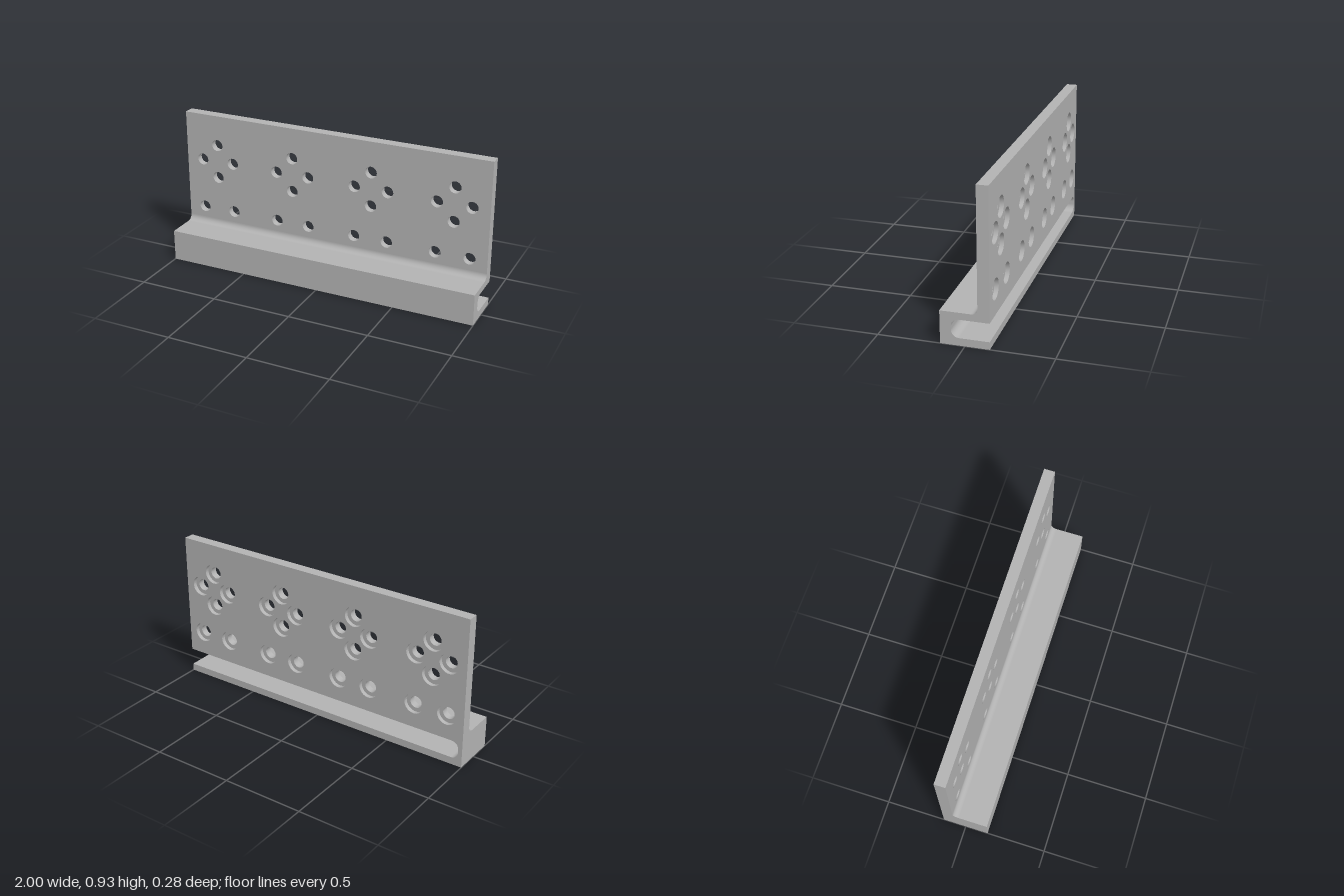
import * as THREE from 'three';

const BACK = -0.14, FRONT = 0.14, WEB = -0.073, TOP = 0.93, LEDGE = 0.196, FILLET = 0.037;
const BORE = 0.037, SINK = 0.062, SINK_Z = BACK + 0.025;
const SLOT = { x: -0.93, y: 0.1, h: 0.01, r: 0.045, z: 0.032 }; // core of the rounded pocket

const steel = new THREE.MeshStandardMaterial({ color: 0xb3b3b3, side: THREE.DoubleSide });
steel.name = 'grey metal';

// Surface between rows of points, smooth inside one call and sharp between calls
function loft(rows) {
  const n = rows[0].length, index = [];
  for (let i = 0; i < rows.length - 1; i++) {
    for (let j = 0; j < n - 1; j++) {
      const a = i * n + j, b = a + n;
      index.push(a, b, b + 1, a, b + 1, a + 1);
    }
  }
  const g = new THREE.BufferGeometry().setFromPoints(rows.flat());
  g.setIndex(index);
  g.computeVertexNormals();
  return g;
}

function arc(cx, cy, r, from, to, steps = 12) {
  return Array.from({ length: steps + 1 }, (_, i) => {
    const a = (from + (to - from) * i / steps) * Math.PI / 180;
    return [cx + r * Math.cos(a), cy + r * Math.sin(a)];
  });
}

const toShape = (pts, sign = 1) => new THREE.Shape(pts.map(([u, v]) => new THREE.Vector2(sign * u, v)));
const circle = (x, y, r, z) => arc(x, y, r, 0, 360, 32).map(([u, v]) => new THREE.Vector3(u, v, z));

// Pocket outline in x and y, open at the +x end
function slotOutline(o) {
  const { x, y, h } = SLOT;
  return [[1, y + h + o], ...arc(x, y + h, o, 90, 180), ...arc(x, y - h, o, 180, 270), [1, y - h - o]];
}

// Four groups of holes: a diamond of four above a pair
function holeCentres() {
  const list = [];
  for (const cx of [-0.783, -0.261, 0.261, 0.783]) {
    for (const [dx, y] of [[0, 0.737], [-0.107, 0.63], [0.107, 0.63], [0, 0.522], [-0.107, 0.307], [0.107, 0.307]]) {
      list.push([cx + dx, y]);
    }
  }
  return list;
}

export function createModel() {
  const model = new THREE.Group();
  model.name = 'mountingRail';
  const add = (name, geometry, parent = model) => {
    const mesh = new THREE.Mesh(geometry, steel);
    mesh.name = name;
    parent.add(mesh);
    return mesh;
  };
  const holes = holeCentres();
  const punch = (shape, r, sign) => {
    for (const [x, y] of holes) shape.holes.push(new THREE.Path(arc(sign * x, y, r, 0, 360, 32).slice(0, -1).map(p => new THREE.Vector2(...p))));
    return shape;
  };

  // Long outer faces, swept from end to end
  const fillet = arc(WEB + FILLET, LEDGE + FILLET, FILLET, 270, 180);
  const strips = {
    baseUnderside: [[BACK, 0], [FRONT, 0]],
    baseFront: [[FRONT, 0], [FRONT, LEDGE]],
    baseLedge: [[FRONT, LEDGE], fillet[0]],
    innerFillet: fillet,
    plateTopEdge: [[WEB, TOP], [BACK, TOP]],
  };
  for (const [name, pts] of Object.entries(strips)) {
    add(name, loft([-1, 1].map(x => pts.map(([z, y]) => new THREE.Vector3(x, y, z)))));
  }

  // Front of the drilled plate
  const y0 = LEDGE + FILLET;
  const front = punch(toShape([[-1, y0], [1, y0], [1, TOP], [-1, TOP]]), BORE, 1);
  add('plateFront', new THREE.ShapeGeometry(front)).position.z = WEB;

  // Back face, notched by the pocket
  const rim = slotOutline(SLOT.r);
  const back = punch(toShape([[-1, 0], [-1, TOP], [1, TOP], ...rim, [1, 0]], -1), SINK, -1);
  add('plateBack', new THREE.ShapeGeometry(back).rotateY(Math.PI)).position.z = BACK;

  // End faces: closed on one side, cut by the pocket on the other
  const outer = [[BACK, 0], [FRONT, 0], [FRONT, LEDGE], ...fillet, [WEB, TOP], [BACK, TOP]];
  add('closedEnd', new THREE.ShapeGeometry(toShape(outer)).rotateY(-Math.PI / 2)).position.x = -1;
  const { y, h, r, z } = SLOT;
  const notch = [[BACK, y + h + r], ...arc(z, y + h, r, 90, 0), ...arc(z, y - h, r, 0, -90), [BACK, y - h - r]];
  add('openEnd', new THREE.ShapeGeometry(toShape([...outer, ...notch], -1)).rotateY(Math.PI / 2)).position.x = 1;

  // Pocket walls with rounded floor edge, then its flat floor
  const levels = [[r, BACK], ...arc(0, z, r, 0, 90)];
  add('pocketWalls', loft(levels.map(([o, d]) => slotOutline(o).map(([u, v]) => new THREE.Vector3(u, v, d)))));
  const floor = add('pocketFloor', new THREE.PlaneGeometry(1 - SLOT.x, 2 * h).rotateY(Math.PI));
  floor.position.set((1 + SLOT.x) / 2, y, z + r);

  // Counterbored holes
  for (const [hx, hy] of holes) {
    const hole = new THREE.Group();
    hole.name = 'screwHole';
    add('bore', loft([circle(hx, hy, BORE, SINK_Z), circle(hx, hy, BORE, WEB)]), hole);
    add('counterboreSeat', loft([circle(hx, hy, SINK, SINK_Z), circle(hx, hy, BORE, SINK_Z)]), hole);
    add('counterboreWall', loft([circle(hx, hy, SINK, BACK), circle(hx, hy, SINK, SINK_Z)]), hole);
    model.add(hole);
  }
  return model;
}
